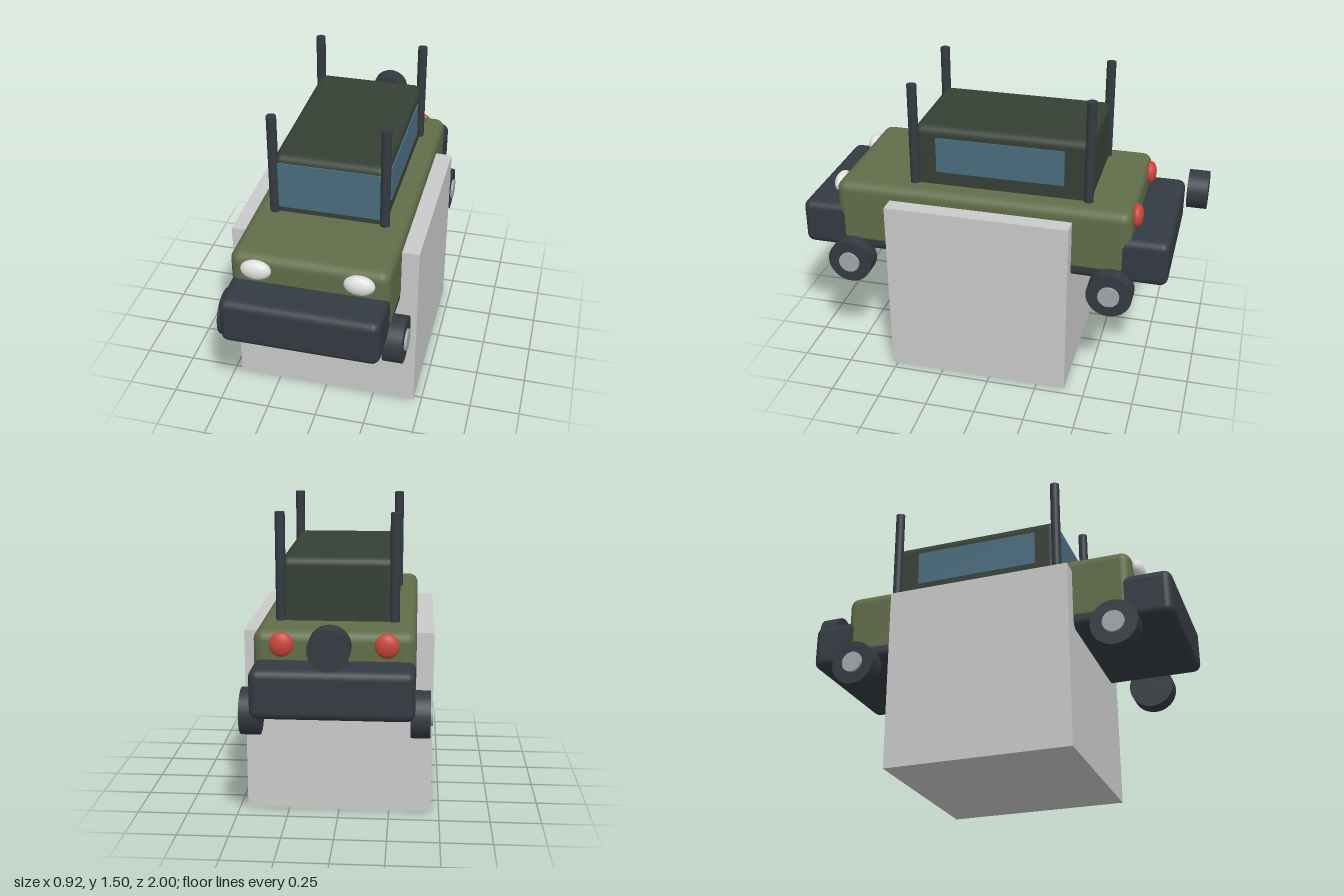
import * as THREE from 'three';
import { RoundedBoxGeometry } from 'three/addons/geometries/RoundedBoxGeometry.js';

const mat = (name, color) => {
  const m = new THREE.MeshStandardMaterial({ color });
  m.name = name;
  return m;
};

export function createModel() {
  const olive = mat('olive paint', 0x616d49);
  const roofGreen = mat('dark green roof', 0x354034);
  const rubber = mat('dark rubber', 0x343a42);
  const glass = mat('blue glass', 0x4a6d7f);
  const metal = mat('hub metal', 0xa3a8ad);
  const lamp = mat('white lamp', 0xe0e0de);
  const red = mat('red lamp', 0xc8463a);
  const grey = mat('light grey block', 0xcacaca);

  const model = new THREE.Group();
  model.name = 'offRoadVehicle';
  const add = (name, geometry, material, x, y, z) => {
    const mesh = new THREE.Mesh(geometry, material);
    mesh.name = name;
    mesh.position.set(x, y, z);
    model.add(mesh);
    return mesh;
  };
  const rounded = (w, h, d, r) => new RoundedBoxGeometry(w, h, d, 3, r);

  // Chassis with bumpers, body, cabin and the block underneath
  add('chassis', rounded(0.748, 0.235, 1.865, 0.04), rubber, 0, 0.737, 0.067);
  add('body', rounded(0.752, 0.345, 1.49, 0.05), olive, 0, 0.818, 0.065);
  add('cabin', rounded(0.545, 0.4, 0.885, 0.04), roofGreen, 0, 1.095, -0.02);
  add('block', new THREE.BoxGeometry(0.92, 0.922, 0.92), grey, 0, 0.461, 0.065);

  // Windows as thin plates
  add('windshield', new THREE.BoxGeometry(0.5, 0.24, 0.008), glass, 0, 1.14, 0.425);
  for (const s of [-1, 1]) {
    add('sideWindow', new THREE.BoxGeometry(0.009, 0.18, 0.64), glass, s * 0.274, 1.15, -0.012);
  }

  // Corner posts
  const post = new THREE.CylinderGeometry(0.024, 0.024, 0.56, 20);
  for (const x of [-0.27, 0.27]) {
    for (const z of [0.42, -0.453]) add('cornerPost', post, rubber, x, 1.225, z);
  }

  // Wheels with hubs
  const tyre = new THREE.CylinderGeometry(0.113, 0.113, 0.092, 32).rotateZ(Math.PI / 2);
  const hub = new THREE.CylinderGeometry(0.053, 0.053, 0.1, 24).rotateZ(Math.PI / 2);
  for (const s of [-1, 1]) {
    for (const z of [0.733, -0.597]) {
      add('tyre', tyre, rubber, s * 0.4, 0.58, z);
      add('hub', hub, metal, s * 0.408, 0.58, z);
    }
  }

  // Spare wheel behind the tail
  const spare = new THREE.CylinderGeometry(0.094, 0.094, 0.098, 32).rotateX(Math.PI / 2);
  add('spareWheel', spare, rubber, 0, 0.985, -0.951);

  // Headlights and tail lights
  const ball = new THREE.SphereGeometry(1, 24, 16);
  for (const s of [-1, 1]) {
    add('headlight', ball, lamp, s * 0.242, 0.93, 0.822).scale.set(0.073, 0.05, 0.036);
    add('tailLight', ball, red, s * 0.242, 0.93, -0.688).scale.set(0.056, 0.058, 0.031);
  }
  return model;
}
